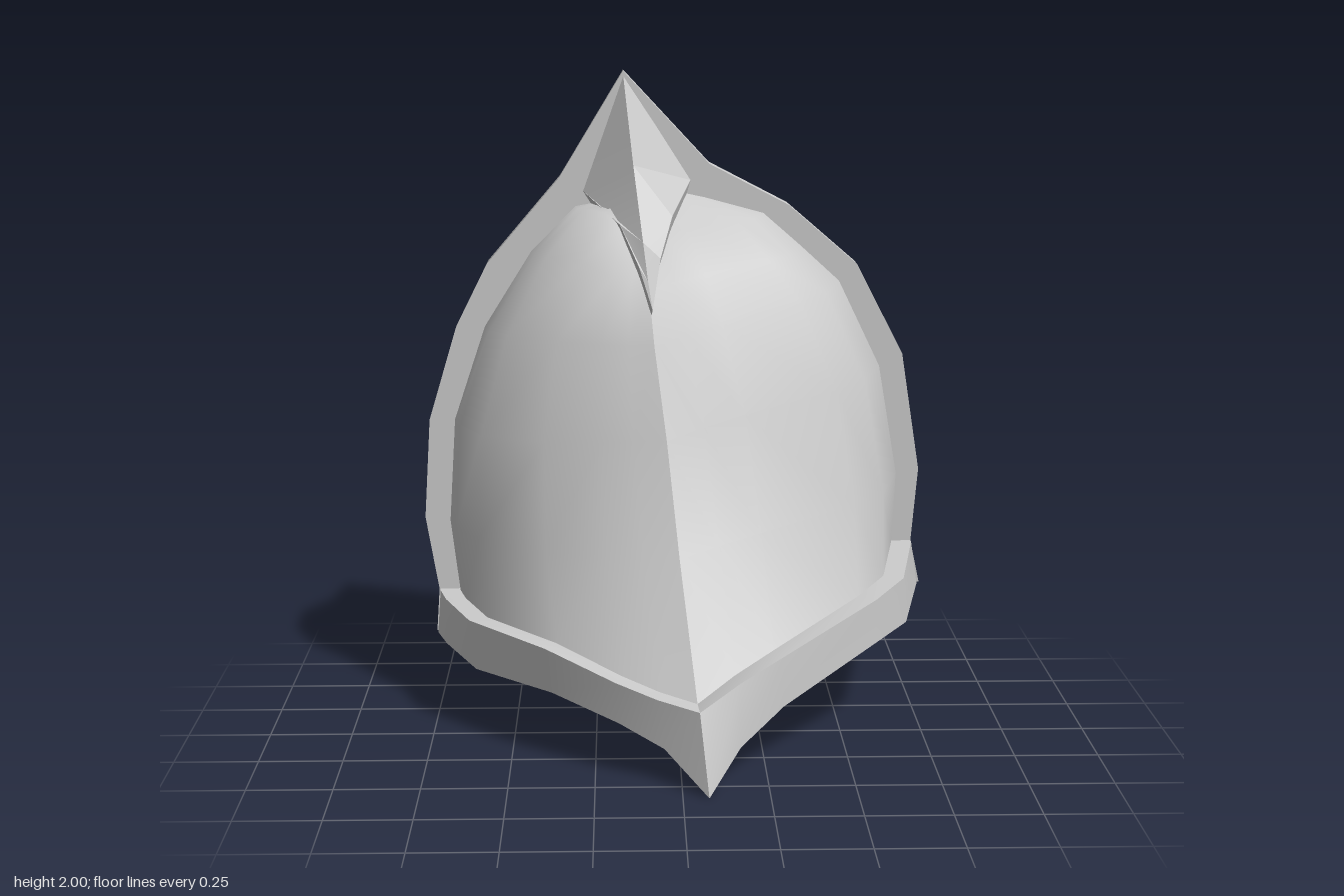
import * as THREE from 'three';
import { toCreasedNormals } from 'three/addons/utils/BufferGeometryUtils.js';

// Edges bent by more than the crease angle stay sharp
function part(name, geometry, crease) {
  const material = new THREE.MeshStandardMaterial({ color: 0xcccccc, side: THREE.DoubleSide });
  const mesh = new THREE.Mesh(toCreasedNormals(geometry, crease), material);
  mesh.name = name;
  return mesh;
}

// Skin a list of cross-sections, each a list of [x, y, z]
function loft(sections, closed) {
  const n = sections[0].length;
  const index = [];
  for (let i = 0; i < sections.length - 1; i++) {
    for (let j = 0; j < (closed ? n : n - 1); j++) {
      const k = (j + 1) % n;
      const a = i * n + j, b = i * n + k, c = a + n, d = b + n;
      index.push(a, b, d, a, d, c);
    }
  }
  const geo = new THREE.BufferGeometry();
  geo.setAttribute('position', new THREE.Float32BufferAttribute(sections.flat(2), 3));
  geo.setIndex(index);
  return geo;
}

// The slightly tilted plane of the back
const backZ = (x, y) => -0.584 - 0.035 * x + 0.034 * y;
const PLATE = 0.095;

// Upper and lower outer edges of the pointed band, from the model's right to its left
const rimUpper = [
  [-0.76, 0.34, -0.52], [-0.755, 0.34, -0.43], [-0.73, 0.34, -0.32], [-0.64, 0.345, -0.05], [-0.4, 0.335, 0.23],
  [-0.19, 0.28, 0.4], [-0.07, 0.25, 0.47], [0.05, 0.23, 0.53], [0.17, 0.295, 0.46], [0.3, 0.35, 0.38],
  [0.6, 0.435, 0.07], [0.7, 0.46, -0.09], [0.77, 0.48, -0.48], [0.77, 0.48, -0.57],
];
const rimLower = [
  [-0.77, 0.2, -0.52], [-0.765, 0.2, -0.43], [-0.73, 0.195, -0.32], [-0.62, 0.19, -0.05], [-0.38, 0.2, 0.23],
  [-0.18, 0.155, 0.39], [-0.05, 0.1, 0.46], [0.075, 0, 0.6], [0.17, 0.11, 0.48], [0.3, 0.2, 0.38],
  [0.6, 0.3, 0.07], [0.71, 0.32, -0.09], [0.79, 0.34, -0.48], [0.8, 0.34, -0.57],
];
const TIP = 7;
const inset = ([x, y, z], k) => [x * k, y, (z + 0.45) * k - 0.45];
const rimInner = rimUpper.map((p) => inset(p, 0.915));

// Flat back slab whose visible border forms the arched rim
function backPlate() {
  const outline = [
    [0.8, 0.34], [0.77, 0.48], [0.79, 0.72], [0.73, 1.1], [0.58, 1.39], [0.36, 1.58], [0.11, 1.71], [-0.16, 2],
    [-0.36, 1.67], [-0.59, 1.4], [-0.69, 1.2], [-0.78, 0.9], [-0.8, 0.58], [-0.76, 0.34], [-0.77, 0.2],
  ];
  const shape = new THREE.Shape(outline.map(([x, y]) => new THREE.Vector2(x, y)));
  const geo = new THREE.ExtrudeGeometry(shape, { depth: PLATE, bevelEnabled: false });
  const p = geo.attributes.position;
  for (let i = 0; i < p.count; i++) p.setZ(i, p.getZ(i) + backZ(p.getX(i), p.getY(i)));
  return part('backPlate', geo, 0.5);
}

// Half of the bulging shell: the band's inner curve, refitted at each level between rim and ridge
function shellHalf(name, base, side) {
  const ridge = [
    [0, 0.6, 0.22], [-0.035, 0.93, 0.09], [-0.07, 1.2, 0],
    [-0.085, 1.36, -0.08], [-0.105, 1.5, -0.2], [-0.12, 1.64, -0.43],
  ];
  const first = base[0], last = base[base.length - 1];
  const levels = side.map(([x, y], i) => {
    const start = [x, y, backZ(x, y) + PLATE - 0.01];
    const roundness = [1, 1, 1 - 0.06 * (i + 1)];
    return base.map((p) => p.map((v, axis) => {
      const f = (v - first[axis]) / (last[axis] - first[axis]);
      const g = axis === 2 ? Math.pow(f, roundness[axis]) : f;
      return THREE.MathUtils.lerp(start[axis], ridge[i][axis], g);
    }));
  });
  return part(name, loft([base, ...levels], false), Math.PI / 2);
}

// Thick pointed band around the lower opening
function lowerRim() {
  const sections = rimUpper.map((upper, i) => {
    const under = inset(rimLower[i], 0.885);
    under[1] = THREE.MathUtils.lerp(under[1], upper[1], 0.35);
    return [rimLower[i], upper, rimInner[i], under];
  });
  return part('lowerRim', loft(sections, true), 0.55);
}

// Faceted beak: apex, wide shoulders, narrowing neck, forward tip
function crest() {
  const apex = [-0.16, 1.99, -0.42], apexBack = [-0.16, 1.99, -0.5];
  const tip = [-0.075, 1.31, 0], tipUnder = [-0.078, 1.29, -0.04];
  const sections = [
    [apexBack, apex, apex, apex, apexBack],
    [[-0.275, 1.58, -0.49], [-0.29, 1.63, -0.43], [-0.13, 1.72, -0.26], [0.05, 1.66, -0.43], [0.04, 1.6, -0.49]],
    [[-0.172, 1.505, -0.25], [-0.172, 1.545, -0.2], [-0.102, 1.5, -0.115], [-0.012, 1.57, -0.2], [-0.012, 1.53, -0.25]],
    [[-0.118, 1.4, -0.13], [-0.115, 1.43, -0.085], [-0.088, 1.39, -0.05], [-0.05, 1.455, -0.085], [-0.052, 1.43, -0.13]],
    [tipUnder, tip, tip, tip, tipUnder],
  ];
  return part('crest', loft(sections, true), 0.2);
}

export function createModel() {
  const model = new THREE.Group();
  model.name = 'armourPlate';
  model.add(
    backPlate(),
    shellHalf('rightShell', rimInner.slice(0, TIP + 1),
      [[-0.72, 0.58], [-0.7, 0.9], [-0.6, 1.2], [-0.45, 1.44], [-0.31, 1.58], [-0.2, 1.6]]),
    shellHalf('leftShell', rimInner.slice(TIP).reverse(),
      [[0.71, 0.72], [0.65, 1.07], [0.52, 1.34], [0.4, 1.45], [0.28, 1.555], [0.06, 1.615]]),
    lowerRim(),
    crest(),
  );
  return model;
}
